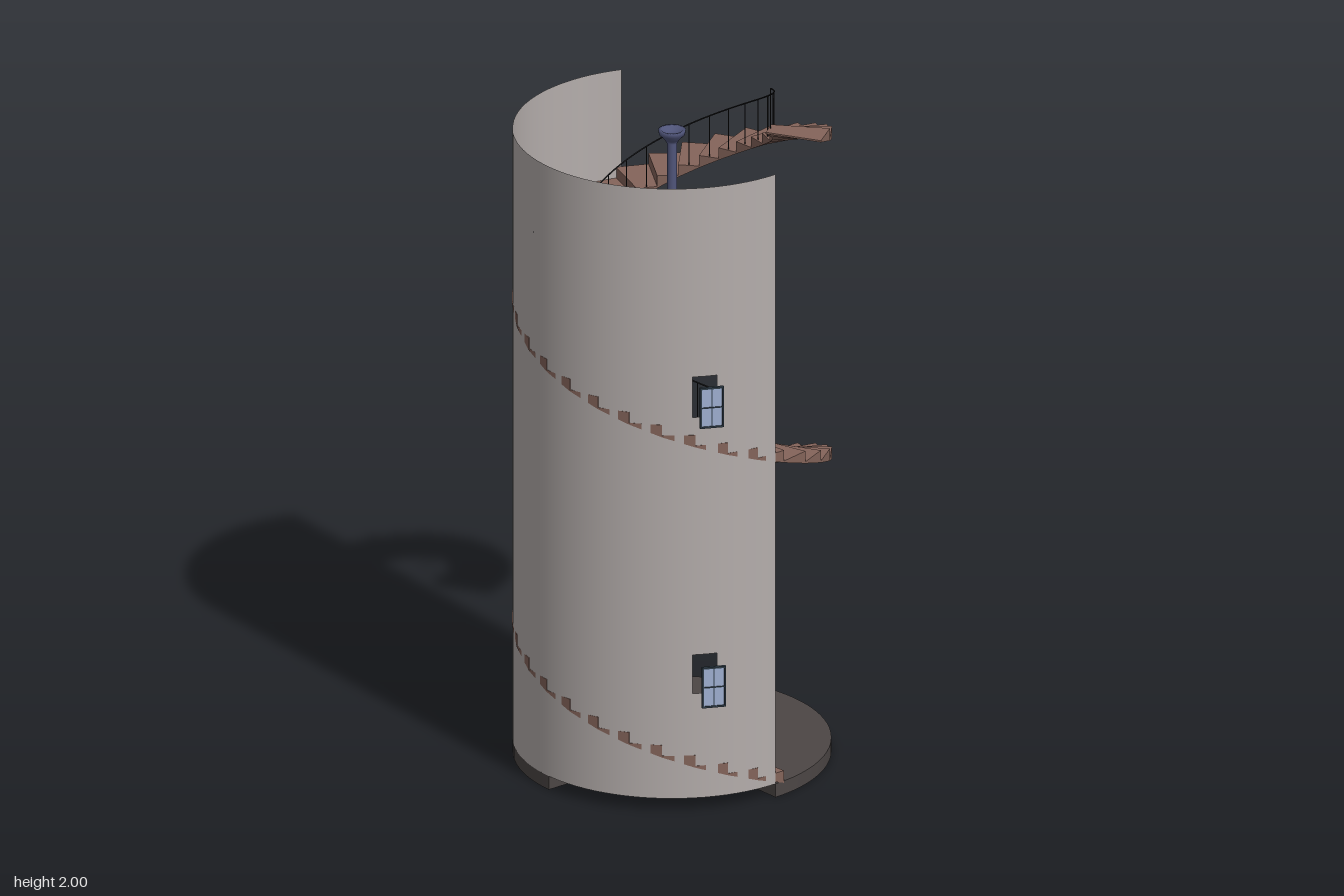
import * as THREE from 'three';
import { mergeGeometries } from 'three/addons/utils/BufferGeometryUtils.js';

const R = 0.437, INNER = 0.28, FLOOR = 0.04, AXIS_Z = -0.043;
const STEPS = 58, STEP_ANGLE = 12, RISE = 0.0317, START = 15;
const rad = THREE.MathUtils.degToRad;
const mat = (color) => new THREE.MeshStandardMaterial({ color });
const M = {
  wall: mat(0xb4adab), wood: mat(0x84645a), floor: mat(0x4c4645), pole: mat(0x50557a),
  iron: mat(0x1c1c1e), rug: mat(0x70708f), card: mat(0xa8835a), cardDark: mat(0x8c6a44),
  desk: mat(0x65463b), frame: mat(0x2f3d48), glass: mat(0x9fb0d2), paper: mat(0xc9b3a0),
  green: mat(0x64786c), red: mat(0x8a3a30), grey: mat(0x5a5a60),
};
M.wall.side = THREE.DoubleSide;

// point at an angle (0 = front, 90 = +x) round the tower axis
const polar = (r, deg, y) => new THREE.Vector3(r * Math.sin(rad(deg)), y, r * Math.cos(rad(deg)));

function add(parent, name, geometry, material, x = 0, y = 0, z = 0, ry = 0) {
  const mesh = new THREE.Mesh(geometry, material);
  mesh.name = name;
  mesh.position.set(x, y, z);
  mesh.rotation.y = rad(ry);
  parent.add(mesh);
  return mesh;
}
const box = (w, h, d) => new THREE.BoxGeometry(w, h, d);
const cyl = (r0, r1, h, n = 16) => new THREE.CylinderGeometry(r0, r1, h, n);

// box bent round the axis from angle a0 down to a1; its underside climbs by ramp
function arcBlock(r0, r1, a0, a1, y0, y1, n = 1, ramp = 0) {
  const g = box(1, 1, 1, 1);
  const bent = n > 1 ? new THREE.BoxGeometry(1, 1, 1, n, 1, 1) : g;
  const p = bent.attributes.position;
  for (let i = 0; i < p.count; i++) {
    const t = p.getX(i) + 0.5;
    const v = polar(p.getZ(i) > 0 ? r0 : r1, a0 + (a1 - a0) * t, p.getY(i) > 0 ? y1 : y0 + ramp * t);
    p.setXYZ(i, v.x, v.y, v.z);
  }
  bent.computeVertexNormals();
  return bent;
}

// curved wall panel
function panel(a0, a1, y0, y1) {
  const n = Math.max(2, Math.round((a1 - a0) / 4));
  const g = new THREE.CylinderGeometry(R, R, y1 - y0, n, 1, true, rad(a0), rad(a1 - a0));
  return g.translate(0, (y0 + y1) / 2, 0);
}

function makeShell(tower) {
  // floor, cut away under the foot of the stairs
  add(tower, 'floorCentre', cyl(INNER, INNER, FLOOR, 48), M.floor, 0, FLOOR / 2);
  add(tower, 'floorRing', arcBlock(INNER - 0.002, R, -80, -349, 0, FLOOR, 60), M.floor);

  // half-open wall with two window openings
  const top = 1.85, sills = [[0.35, 0.465], [1.17, 1.29]];
  add(tower, 'wall', mergeGeometries([
    panel(-191, -22, FLOOR, top), panel(-13, 11, FLOOR, top),
    panel(-22, -13, FLOOR, sills[0][0]), panel(-22, -13, sills[0][1], sills[1][0]),
    panel(-22, -13, sills[1][1], top),
  ]), M.wall);

  // windows standing out in front of the openings
  [[-0.157, 0.4075, 0.511], [-0.153, 1.23, 0.493]].forEach(([x, y, z]) => {
    const w = new THREE.Group();
    w.name = 'window';
    w.position.set(x, y, z);
    w.rotation.y = rad(-17);
    add(w, 'windowGlass', box(0.064, 0.114, 0.003), M.glass);
    for (const s of [-1, 0, 1]) {
      add(w, 'windowUpright', box(s ? 0.005 : 0.003, 0.12, 0.009), M.frame, s * 0.031);
      add(w, 'windowCrossbar', box(0.067, s ? 0.005 : 0.003, 0.009), M.frame, 0, s * 0.0575);
    }
    tower.add(w);
  });

  // central pole with foot and flared cap
  const profile = [[0.0, 0.04], [0.044, 0.04], [0.044, 0.046], [0.018, 0.056], [0.014, 0.07], [0.014, 1.805],
    [0.02, 1.815], [0.036, 1.832], [0.038, 1.845], [0.03, 1.845], [0.016, 1.835], [0, 1.835]];
  add(tower, 'pole', new THREE.LatheGeometry(profile.map(([x, y]) => new THREE.Vector2(x, y)), 24), M.pole);

  // wall hook
  const hook = add(tower, 'wallHook', new THREE.TorusGeometry(0.01, 0.002, 5, 10), M.iron);
  hook.position.copy(polar(R - 0.011, -90, 1.63));
}

function makeStairs(tower) {
  const treads = [], posts = [], railPoints = [];
  for (let k = 0; k < STEPS; k++) {
    const a = START - STEP_ANGLE * k, y = FLOOR + RISE * (k + 1);
    treads.push(arcBlock(INNER - 0.004, R + 0.002, a, a - STEP_ANGLE, y - RISE - 0.005, y, 1, RISE));
    if (k === 0) continue;
    const p = polar(INNER, a - STEP_ANGLE / 2, y + 0.06);
    posts.push(cyl(0.0015, 0.0015, 0.12, 5).translate(p.x, p.y, p.z));
    railPoints.push(p.setY(y + 0.12));
  }
  add(tower, 'stairSteps', mergeGeometries(treads), M.wood);
  add(tower, 'railingPosts', mergeGeometries(posts), M.iron);
  add(tower, 'handrail', new THREE.TubeGeometry(new THREE.CatmullRomCurve3(railPoints), 228, 0.0022, 6), M.iron);
}

function makeStudy(tower) {
  // rug
  add(tower, 'rug', box(0.364, 0.003, 0.2), M.rug, -0.18, FLOOR + 0.002, -0.185, 45);

  // curved desk with raised shelf
  add(tower, 'deskTop', arcBlock(0.325, 0.42, 258, 192, 0.133, 0.146, 16), M.desk);
  add(tower, 'deskShelf', arcBlock(0.375, 0.42, 246, 194, 0.197, 0.204, 16), M.desk);
  for (const a of [193, 214, 236, 257]) {
    for (const r of [0.335, 0.41]) {
      const p = polar(r, a, 0.087);
      add(tower, 'deskLeg', box(0.009, 0.094, 0.009), M.desk, p.x, p.y, p.z, a);
    }
  }
  // books and odds on the desk
  const covers = [M.red, M.desk, M.green, M.grey, M.paper];
  for (let i = 0; i < 16; i++) {
    const p = polar(0.398, 196 + i * 3.1, 0), h = 0.03 + 0.016 * ((i * 7) % 5) / 4;
    add(tower, 'book', box(0.014, h, 0.03), covers[(i * 3) % 5], p.x, 0.146 + h / 2, p.z, 196 + i * 3.1);
  }
  for (const [a, m] of [[203, M.paper], [222, M.red], [240, M.paper]]) {
    const p = polar(0.35, a, 0.149);
    add(tower, 'deskPaper', box(0.035, 0.006, 0.028), m, p.x, p.y, p.z, a);
  }

  // chair
  const chair = new THREE.Group();
  chair.name = 'chair';
  chair.position.set(-0.25, FLOOR, -0.165);
  chair.rotation.y = rad(50);
  add(chair, 'chairSeat', box(0.046, 0.006, 0.044), M.iron, 0, 0.045);
  add(chair, 'chairBack', box(0.046, 0.018, 0.004), M.iron, 0, 0.078, 0.02);
  for (const x of [-0.02, 0.02]) {
    add(chair, 'chairFrontLeg', box(0.004, 0.045, 0.004), M.iron, x, 0.0225, -0.02);
    add(chair, 'chairBackLeg', box(0.004, 0.087, 0.004), M.iron, x, 0.0435, 0.02);
    add(chair, 'chairRung', box(0.003, 0.003, 0.04), M.iron, x, 0.018);
  }
  tower.add(chair);

  // bookcase: sides, back and boards
  const c = new THREE.Group();
  c.name = 'bookcase';
  c.position.set(0.043, FLOOR, -0.392);
  c.rotation.y = rad(-6);
  add(c, 'bookcaseBack', box(0.076, 0.175, 0.005), M.desk, 0, 0.0875, -0.028);
  for (const s of [-1, 1]) add(c, 'bookcaseSide', box(0.006, 0.175, 0.06), M.desk, s * 0.036, 0.0875);
  for (let i = 0; i < 5; i++) add(c, 'bookcaseBoard', box(0.07, 0.005, 0.058), M.desk, 0, 0.004 + i * 0.042);
  tower.add(c);

  // pictures on the wall
  [[233, 0.277, 0.09, 0.067, M.paper], [217.5, 0.26, 0.086, 0.075, M.green]].forEach(([a, y, w, h, m]) => {
    const p = polar(0.424, a, y);
    add(tower, 'wallPicture', box(w, h, 0.004), m, p.x, p.y, p.z, a);
    for (let i = 0; i < 4; i++) {
      const q = polar(0.4215, a - 4 + (i % 2) * 8, y + (i < 2 ? 0.016 : -0.016));
      add(tower, 'pictureDetail', box(0.022, 0.016, 0.003), i % 2 ? M.grey : M.red, q.x, q.y, q.z, a);
    }
  });
}

function makeBoxes(tower) {
  // cardboard boxes: x, z, base, width, height, depth, turn
  [[-0.108, 0.075, 0.04, 0.105, 0.06, 0.07, -30], [-0.023, 0.108, 0.04, 0.098, 0.062, 0.135, -36],
    [-0.042, 0.105, 0.102, 0.1, 0.062, 0.076, -16], [0.131, 0.09, 0.04, 0.082, 0.063, 0.08, -7],
  ].forEach(([x, z, y, w, h, d, ry]) => {
    add(tower, 'cardboardBox', box(w, h, d), M.card, x, y + h / 2, z - AXIS_Z, ry);
    add(tower, 'boxTape', box(0.004, h + 0.001, d + 0.001), M.cardDark, x, y + h / 2, z - AXIS_Z, ry);
  });

  // open box with four flaps
  const b = new THREE.Group();
  b.name = 'openBox';
  b.position.set(0.075, FLOOR, 0.01);
  b.rotation.y = rad(-20);
  add(b, 'openBoxBottom', box(0.056, 0.004, 0.056), M.cardDark, 0, 0.002);
  for (let i = 0; i < 4; i++) {
    const side = new THREE.Group();
    side.name = 'openBoxSide';
    side.rotation.y = i * Math.PI / 2;
    add(side, 'openBoxWall', box(0.058, 0.055, 0.002), M.card, 0, 0.0275, 0.028);
    add(side, 'openBoxFlap', box(0.056, 0.002, 0.028), M.card, 0, 0.06, 0.04).rotation.x = -0.4;
    b.add(side);
  }
  add(b, 'boxContents', box(0.03, 0.045, 0.03), M.paper, -0.005, 0.04, 0, 25);
  tower.add(b);

  // small jointed ornament beside the open box
  const o = new THREE.Group();
  o.name = 'ornament';
  o.position.set(0.105, FLOOR, 0.055);
  add(o, 'ornamentHead', new THREE.SphereGeometry(0.011, 12, 8), M.iron, 0.008, 0.062, -0.034);
  add(o, 'ornamentBody', cyl(0.008, 0.011, 0.04, 8), M.grey, 0.004, 0.035, -0.02).rotation.x = -0.5;
  for (const s of [-1, 1]) add(o, 'ornamentLimb', box(0.008, 0.008, 0.045), M.iron, s * 0.012 - 0.01, 0.012, 0.005, -45);
  add(o, 'ornamentBase', box(0.02, 0.012, 0.014), M.red, -0.03, 0.006, 0.02, 30);
  tower.add(o);
}

export function createModel() {
  const model = new THREE.Group();
  model.name = 'towerRoom';
  const tower = new THREE.Group();
  tower.name = 'tower';
  tower.position.z = AXIS_Z;
  model.add(tower);
  makeShell(tower);
  makeStairs(tower);
  makeStudy(tower);
  makeBoxes(tower);
  return model;
}
